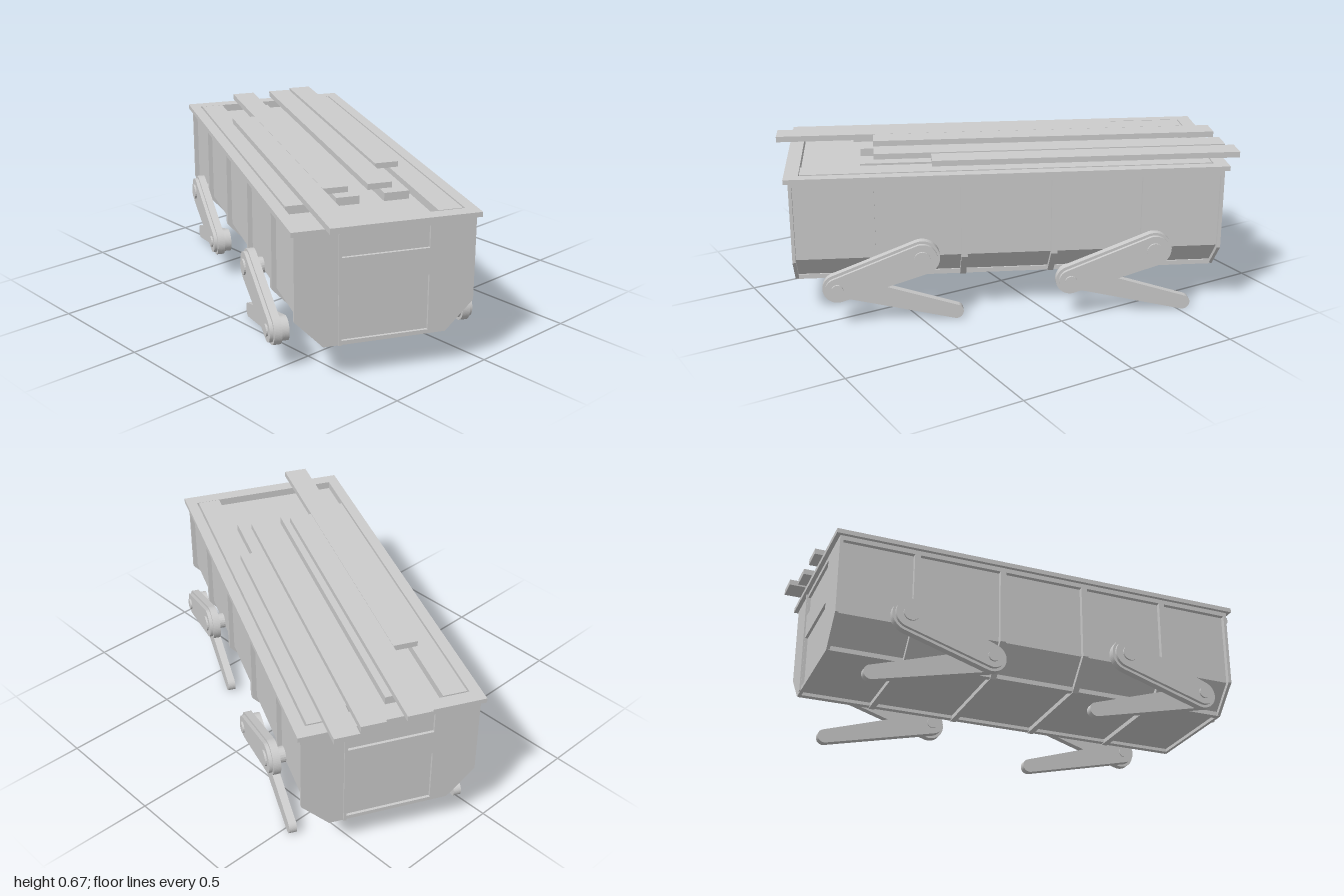
import * as THREE from 'three';

const mat = new THREE.MeshStandardMaterial({ color: 0xcccccc, flatShading: true });

function add(parent, name, geo) {
  const m = new THREE.Mesh(geo, mat);
  m.name = name;
  parent.add(m);
  return m;
}

// box given by its limits
function block(parent, name, x0, x1, y0, y1, z0, z1) {
  const m = add(parent, name, new THREE.BoxGeometry(x1 - x0, y1 - y0, z1 - z0));
  m.position.set((x0 + x1) / 2, (y0 + y1) / 2, (z0 + z1) / 2);
  return m;
}

function polygon(pts, Type = THREE.Shape) {
  return new Type(pts.map(p => new THREE.Vector2(p[0], p[1])));
}

function rect(x0, x1, y0, y1, Type) {
  return polygon([[x0, y0], [x1, y0], [x1, y1], [x0, y1]], Type);
}

// cross-section of the hull with chamfered lower edges
function section(side, kneeY, bottom, bottomY, top) {
  return polygon([[-bottom, bottomY], [bottom, bottomY], [side, kneeY], [side, top], [-side, top], [-side, kneeY]]);
}

// slice of the hull, extruded along its length and centred on x
function slice(parent, name, shape, x, length) {
  const g = new THREE.ExtrudeGeometry(shape, { depth: length, bevelEnabled: false });
  g.translate(0, 0, -length / 2).rotateY(Math.PI / 2);
  add(parent, name, g).position.x = x;
}

// flat rectangular ring
function ring(parent, name, hx, hz, ix, iz, y0, y1) {
  const s = rect(-hx, hx, -hz, hz);
  s.holes.push(rect(-ix, ix, -iz, iz, THREE.Path));
  const g = new THREE.ExtrudeGeometry(s, { depth: y1 - y0, bevelEnabled: false });
  g.rotateX(-Math.PI / 2);
  add(parent, name, g).position.y = y0;
}

// tapered bar with round ends, between depths z0 and z1
function link(parent, name, a, ra, b, rb, z0, z1) {
  const dx = b[0] - a[0], dy = b[1] - a[1];
  const dir = Math.atan2(dy, dx), t = Math.acos((ra - rb) / Math.hypot(dx, dy));
  const s = new THREE.Shape();
  s.absarc(a[0], a[1], ra, dir + t, dir - t + 2 * Math.PI, false);
  s.absarc(b[0], b[1], rb, dir - t, dir + t, false);
  const lo = Math.min(z0, z1);
  const g = new THREE.ExtrudeGeometry(s, { depth: Math.abs(z1 - z0), bevelEnabled: false, curveSegments: 16 });
  add(parent, name, g).position.z = lo;
}

function pin(parent, name, p, r, z0, z1) {
  const g = new THREE.CylinderGeometry(r, r, Math.abs(z1 - z0), 20);
  g.rotateX(Math.PI / 2);
  add(parent, name, g).position.set(p[0], p[1], (z0 + z1) / 2);
}

function makeLeg(x, s) {
  const leg = new THREE.Group();
  leg.name = 'leg';
  const hip = [x, 0.295], knee = [x + 0.355, 0.17], foot = [x - 0.142, 0.031];
  link(leg, 'lowerLeg', knee, 0.05, foot, 0.031, s * 0.345, s * 0.378);
  link(leg, 'upperLeg', hip, 0.075, knee, 0.062, s * 0.378, s * 0.41);
  link(leg, 'upperLegCover', hip, 0.064, knee, 0.05, s * 0.41, s * 0.425);
  pin(leg, 'hipPin', hip, 0.034, s * 0.34, s * 0.433);
  pin(leg, 'kneePin', knee, 0.025, s * 0.34, s * 0.433);
  return leg;
}

export function createModel() {
  const model = new THREE.Group();
  const body = new THREE.Group();
  body.name = 'walkingContainer';
  body.rotation.y = -0.4416;
  model.add(body);

  // hull panels and ribs wrapping around them
  slice(body, 'hull', section(0.345, 0.28, 0.242, 0.17, 0.612), 0, 1.79);
  for (const x of [-0.573, -0.19, 0.19, 0.573])
    slice(body, 'rib', section(0.365, 0.275, 0.25, 0.15, 0.612), x, 0.026);

  for (const s of [-1, 1]) {
    // end wall with an upper and a lower recess
    const wall = section(0.365, 0.275, 0.25, 0.155, 0.625);
    wall.holes.push(rect(-0.177, 0.177, 0.515, 0.618, THREE.Path));
    wall.holes.push(rect(-0.177, 0.177, 0.172, 0.405, THREE.Path));
    slice(body, 'endWall', wall, s * 0.9, 0.014);
    const post = block(body, 'endPost', -0.005, 0.005, 0.155, 0.622, -0.006, 0.006);
    post.position.x = s * 0.909;
    post.position.z = s * 0.185;
    // rail along each bottom edge
    block(body, 'bottomRail', -0.9, 0.9, 0.155, 0.175, s * 0.24 - 0.013, s * 0.24 + 0.013);
  }

  // top rim
  ring(body, 'upperRail', 0.907, 0.365, 0.865, 0.333, 0.605, 0.626);
  ring(body, 'rim', 0.925, 0.381, 0.865, 0.333, 0.625, 0.645);

  // planks of the lower layer: x0, x1, z0, z1
  const lower = [
    [-0.86, 0.862, -0.325, -0.225], [-0.8, 0.615, -0.2, -0.094],
    [-0.8, 0.615, 0.01, 0.107], [-0.86, 0.65, 0.225, 0.325],
  ];
  for (const [x0, x1, z0, z1] of lower) block(body, 'lowerPlank', x0, x1, 0.611, 0.646, z0, z1);

  // planks of the upper layer, overhanging the ends
  const upper = [
    [-0.997, 0.315, -0.264, -0.161], [-0.963, 0.558, -0.147, -0.044],
    [-0.96, 0.56, 0.04, 0.144], [-0.53, 0.988, 0.145, 0.25],
  ];
  for (const [x0, x1, z0, z1] of upper) block(body, 'upperPlank', x0, x1, 0.645, 0.67, z0, z1);

  // two folded legs on each side
  for (const s of [-1, 1])
    for (const x of [-0.61, 0.37]) body.add(makeLeg(x, s));

  return model;
}
